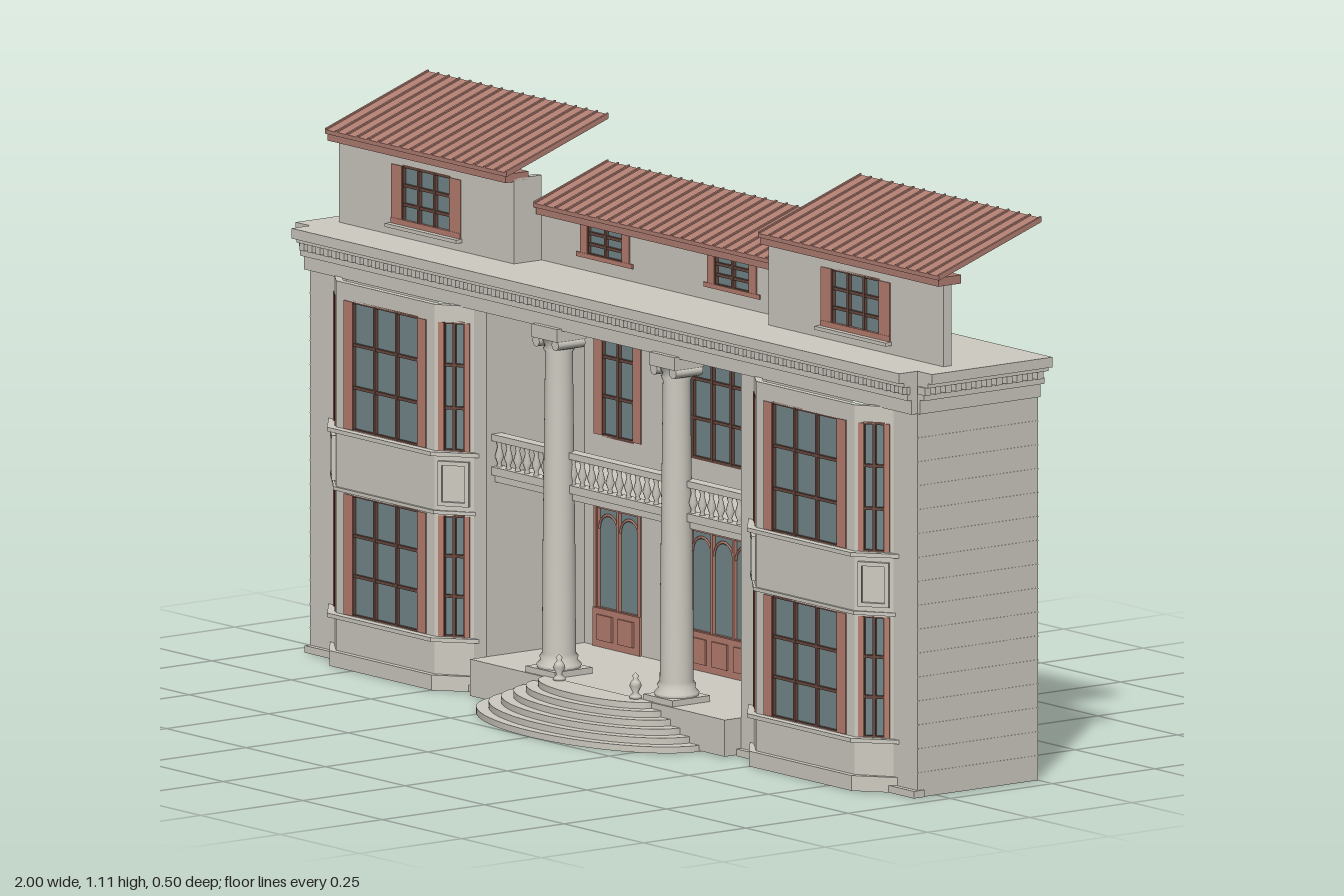
import * as THREE from 'three';
import { mergeGeometries } from 'three/addons/utils/BufferGeometryUtils.js';

const material = (name, color) => Object.assign(new THREE.MeshStandardMaterial({ color }), { name });

// Box given by its limits on each axis
function box(x0, x1, y0, y1, z0, z1) {
  return new THREE.BoxGeometry(Math.abs(x1 - x0), y1 - y0, z1 - z0)
    .translate((x0 + x1) / 2, (y0 + y1) / 2, (z0 + z1) / 2);
}
const extrude = (shape, depth) =>
  new THREE.ExtrudeGeometry(shape, { depth, bevelEnabled: false, curveSegments: 32 });
const polygon = (pts) => new THREE.Shape(pts.map(([a, b]) => new THREE.Vector2(a, b)));

// Horizontal slab from an (x, z) outline
const slab = (pts, y0, y1) =>
  extrude(polygon(pts.map(([x, z]) => [x, -z])), y1 - y0).rotateX(-Math.PI / 2).translate(0, y0, 0);

// Prism along x from a (z, y) profile
const prism = (pts, x0, x1) =>
  extrude(polygon(pts.map(([z, y]) => [-z, y])), x1 - x0).rotateY(Math.PI / 2).translate(x0, 0, 0);

// Upright wall with rectangular holes [x0, x1, y0, y1]; its front face is at z = 0
function wall(x0, x1, y0, y1, holes, t) {
  const shape = polygon([[x0, y0], [x1, y0], [x1, y1], [x0, y1]]);
  for (const [a, b, c, d] of holes)
    shape.holes.push(new THREE.Path([[a, c], [a, d], [b, d], [b, c]].map((p) => new THREE.Vector2(...p))));
  return extrude(shape, t).translate(0, 0, -t);
}
const place = (x, z, angle = 0) => new THREE.Matrix4().makeRotationY(angle).setPosition(x, 0, z);

// Line of a bay in plan, grown outward by g
const bayLine = (cx, g) => [
  [cx - 0.22 - g, 0.03], [cx - 0.22 - g, 0.045], [cx - 0.155 - g * 0.5, 0.09 + g],
  [cx + 0.155 + g * 0.5, 0.09 + g], [cx + 0.22 + g, 0.045], [cx + 0.22 + g, 0.03]];
// Band that follows the bay wall without filling its inside
const bayBand = (cx, g, y0, y1) => slab([...bayLine(cx, g), ...bayLine(cx, -0.012).reverse()], y0, y1);

// Cornice outline: the sides reach x, the front reaches z
const cornicePlan = (x, z, fx = 0.955) => [
  [-x, -0.25], [x, -0.25], [x, 0.045], [fx, 0.045], [fx, z], [-fx, z], [-fx, 0.045], [-x, 0.045]];

export function createModel() {
  const stone = material('stone', 0xcecbc1);
  const brick = material('brick', 0xb87f70);
  const roofRed = material('roofTile', 0xb07e72);
  const frame = material('windowFrame', 0x69483f);
  const glass = material('glass', 0x74888a);

  const model = new THREE.Group();
  model.name = 'facade';
  const part = (name, mat, geometries) => {
    const flat = geometries.map((g) => (g.index ? g.toNonIndexed() : g));
    const mesh = new THREE.Mesh(mergeGeometries(flat), mat);
    mesh.name = name;
    model.add(mesh);
  };

  // Windows collect their pieces here; the brick jambs stand inside the hole
  const panes = [], bars = [], surrounds = [], doors = [];
  const hole = (cx, w, jamb, y0, y1) => [cx - w / 2 - jamb, cx + w / 2 + jamb, y0, y1];
  function windowUnit(m, cx, y0, y1, w, jamb, cols, rows, barList = bars) {
    const x0 = cx - w / 2, x1 = cx + w / 2, b = 0.003;
    const add = (list, ...limits) => list.push(box(...limits).applyMatrix4(m));
    add(panes, x0 - jamb, x1 + jamb, y0, y1, -0.013, -0.006);
    for (const [a, c] of [[x0 - jamb, x0], [x1, x1 + jamb]]) add(surrounds, a, c, y0, y1, -0.007, 0.002);
    for (let i = 0; i <= cols; i++) {
      const x = x0 + (w * i) / cols;
      add(barList, x - b, x + b, y0, y1, -0.007, 0.001);
    }
    for (let j = 0; j <= rows; j++) {
      const y = y0 + ((y1 - y0) * j) / rows;
      add(barList, x0, x1, y - b, y + b, -0.007, 0);
    }
  }

  // Side wings: outer walls, front piers, recess walls, base courses
  const walls = [], courses = [], bays = [], bands = [], panels = [];
  for (const s of [-1, 1]) {
    walls.push(box(s * 0.93, s * 0.955, 0, 0.756, -0.25, 0.045));
    walls.push(box(s * 0.87, s * 0.94, 0, 0.756, 0.02, 0.045));
    walls.push(box(s * 0.4, s * 0.45, 0, 0.756, 0.02, 0.045));
    walls.push(box(s * 0.4, s * 0.41, 0, 0.756, -0.22, 0.03));
    for (let i = 1; i < 16; i++)
      courses.push(box(s * 0.954, s * 0.956, i * 0.047, i * 0.047 + 0.002, -0.25, 0.045));
    courses.push(box(s * 0.4, s * 0.958, 0, 0.014, 0.03, 0.056));

    // Bay with three facets
    const cx = s * 0.66, tilt = Math.atan2(0.045, 0.065);
    const facets = [[0, 0.09, 0, 0.31, 0.206, 0.026, 3], [0.1875, 0.0675, tilt, 0.079, 0.044, 0.01, 2],
      [-0.1875, 0.0675, -tilt, 0.079, 0.044, 0.01, 2]];
    for (const [dx, z, angle, width, w, jamb, cols] of facets) {
      const m = place(cx + dx, z, angle);
      const floors = [[0.105, 0.342], [0.47, 0.722]];
      const holes = floors.map(([a, b]) => hole(0, w, jamb, a, b));
      bays.push(wall(-width / 2, width / 2, 0.03, 0.756, holes, 0.014).applyMatrix4(m));
      for (const [a, b] of floors) windowUnit(m, 0, a, b, w, jamb, cols, 3);
      if (!angle) continue;
      const h = width / 2 - 0.008;
      panels.push(wall(-h, h, 0.362, 0.45, [[-h + 0.008, h - 0.008, 0.37, 0.442]], 0.008)
        .translate(0, 0, 0.008).applyMatrix4(m));
    }
    for (const [g, a, b] of [[0.012, 0, 0.03], [0.016, 0.096, 0.104], [0.005, 0.345, 0.352],
      [0.016, 0.461, 0.469]]) bands.push(bayBand(cx, g, a, b));
  }
  part('wingWalls', stone, walls);
  part('stoneCourses', stone, courses);
  part('bayWalls', stone, bays);
  part('bayBands', stone, bands);
  part('bayPanels', stone, panels);

  // Recessed centre wall with its doors and upper windows
  const rearZ = -0.195, rear = place(0, rearZ), openings = [];
  for (const [cx, w, cols] of [[-0.295, 0.1, 2], [0, 0.24, 4], [0.295, 0.1, 2]]) {
    const dw = w + 0.032;
    openings.push(hole(cx, w, 0.024, 0.49, 0.722), hole(cx, dw, 0.008, 0.148, 0.348));
    windowUnit(rear, cx, 0.49, 0.722, w, 0.024, cols, 3);
    windowUnit(rear, cx, 0.148, 0.348, dw, 0.008, cols, 1, doors);
    doors.push(box(cx - dw / 2 - 0.008, cx + dw / 2 + 0.008, 0.074, 0.15, rearZ - 0.001, rearZ + 0.005));
    for (let i = 0; i < cols; i++) {
      const lw = dw / cols, x = cx - dw / 2 + lw * (i + 0.5);
      doors.push(box(x - lw * 0.35, x + lw * 0.35, 0.088, 0.138, rearZ, rearZ + 0.009));
      doors.push(new THREE.TorusGeometry(lw * 0.44, 0.003, 4, 12, Math.PI).translate(x, 0.305, rearZ - 0.003));
    }
  }
  part('centreWall', stone, [wall(-0.41, 0.41, 0, 0.756, openings, 0.025).applyMatrix4(rear)]);
  part('doors', brick, doors);

  // Porch floor and half-round stairs
  const steps = [];
  for (let i = 0; i < 6; i++) {
    const shape = new THREE.Shape();
    shape.absellipse(0, -0.08, 0.32 - 0.03 * i, 0.17 - 0.02 * i, Math.PI, 2 * Math.PI);
    shape.closePath();
    steps.push(extrude(shape, 0.0125).rotateX(-Math.PI / 2).translate(0, i * 0.0125, 0));
  }
  part('porchFloor', stone, [box(-0.4, 0.4, 0.002, 0.074, -0.22, 0.085)]);
  part('stairs', stone, steps);

  // Columns with scrolled capitals, and small urns beside the stairs
  const lathe = (pts, n) => new THREE.LatheGeometry(pts.map((p) => new THREE.Vector2(...p)), n);
  const columns = [], urns = [];
  for (const s of [-1, 1]) {
    const x = s * 0.185, z = 0.035;
    columns.push(lathe([[0.042, 0.085], [0.044, 0.092], [0.036, 0.1], [0.038, 0.108], [0.033, 0.114],
      [0.032, 0.3], [0.027, 0.705], [0.031, 0.712], [0.027, 0.718], [0.034, 0.732]], 24).translate(x, 0, z));
    columns.push(box(x - 0.046, x + 0.046, 0.074, 0.086, z - 0.046, z + 0.046));
    columns.push(box(x - 0.04, x + 0.04, 0.732, 0.758, z - 0.036, z + 0.036));
    for (const v of [-1, 1])
      columns.push(new THREE.CylinderGeometry(0.011, 0.011, 0.066, 12).rotateX(Math.PI / 2)
        .translate(x + v * 0.03, 0.725, z));
    urns.push(lathe([[0, 0.074], [0.012, 0.074], [0.012, 0.08], [0.005, 0.086], [0.012, 0.1],
      [0.009, 0.108], [0.004, 0.114], [0.007, 0.119], [0, 0.126]], 10).translate(s * 0.12, 0, 0.085));
  }
  part('columns', stone, columns);
  part('urns', stone, urns);

  // Balcony with turned balusters
  const rail = [box(-0.4, 0.4, 0.497, 0.51, 0.007, 0.033), box(-0.4, 0.4, 0.43, 0.446, 0.007, 0.033)];
  for (let i = 0; i < 28; i++)
    rail.push(lathe([[0.006, 0.445], [0.004, 0.453], [0.009, 0.466], [0.004, 0.485], [0.007, 0.498]], 8)
      .translate(-0.3915 + i * 0.029, 0, 0.02));
  part('balustrade', stone, rail);
  part('balconyFloor', stone, [box(-0.4, 0.4, 0.415, 0.431, -0.2, 0.024)]);

  // Layered cornice with dentils
  const dentils = [];
  for (let i = 0; i < 76; i++) {
    const x = -0.9425 + i * 0.0251;
    dentils.push(box(x - 0.007, x + 0.007, 0.794, 0.809, 0.06, 0.075));
  }
  for (const s of [-1, 1]) for (let i = 0; i < 12; i++)
    dentils.push(box(s * 0.96, s * 0.984, 0.794, 0.809, -0.24 + i * 0.025, -0.226 + i * 0.025));
  part('cornice', stone, [
    slab(cornicePlan(0.962, 0.06), 0.754, 0.782), slab(cornicePlan(0.975, 0.069), 0.782, 0.794),
    slab(cornicePlan(0.966, 0.064), 0.794, 0.809), slab(cornicePlan(0.988, 0.078), 0.809, 0.818),
    slab(cornicePlan(1, 0.09), 0.818, 0.838)]);
  part('dentils', stone, dentils);

  // Attic walls, their windows, sloped roofs, eaves and seams
  const attic = [], roofs = [], eaves = [], seams = [], sills = [];
  function roof(x0, x1, z, y, rise) {
    const slope = (lift, t) => [[z, y + lift], [z, y + lift + t], [-0.25, y + rise + lift + t], [-0.25, y + rise + lift]];
    roofs.push(prism(slope(0, 0.008), x0, x1));
    const n = Math.round((x1 - x0) / 0.034);
    for (let i = 0; i <= n; i++) {
      const x = x0 + ((x1 - x0 - 0.005) * i) / n;
      seams.push(prism(slope(0.007, 0.004), x, x + 0.005));
    }
    eaves.push(box(x0 + 0.005, x1 - 0.005, y - 0.013, y + 0.004, z - 0.058, z - 0.002));
  }
  for (const s of [-1, 1]) {
    const wing = place(s * 0.675, -0.022), mid = place(s * 0.2, -0.09);
    attic.push(wall(-0.275, 0.275, 0.836, 1.005, [hole(0, 0.15, 0.034, 0.865, 0.978)], 0.02).applyMatrix4(wing));
    attic.push(box(s * 0.4, s * 0.415, 0.836, 1.005, -0.09, -0.03));
    windowUnit(wing, 0, 0.865, 0.978, 0.15, 0.034, 3, 3);
    surrounds.push(box(-0.109, 0.109, 0.862, 0.873, -0.004, 0.003).applyMatrix4(wing));
    sills.push(box(-0.112, 0.112, 0.855, 0.862, -0.004, 0.015).applyMatrix4(wing));
    attic.push(wall(-0.2, 0.2, 0.836, 0.942, [hole(0, 0.11, 0.022, 0.87, 0.934)], 0.02).applyMatrix4(mid));
    windowUnit(mid, 0, 0.87, 0.934, 0.11, 0.022, 2, 3);
    surrounds.push(box(-0.088, 0.088, 0.863, 0.872, -0.004, 0.003).applyMatrix4(mid));
  }
  roof(-0.965, -0.395, 0, 1.012, 0.086);
  roof(0.395, 0.965, 0, 1.012, 0.086);
  roof(-0.4, 0.4, -0.07, 0.944, 0.062);
  part('atticWalls', stone, attic);
  part('atticSills', stone, sills);
  part('roofs', roofRed, roofs);
  part('eaves', roofRed, eaves);
  part('roofSeams', roofRed, seams);

  part('windowPanes', glass, panes);
  part('windowBars', frame, bars);
  part('windowSurrounds', brick, surrounds);
  return model;
}
